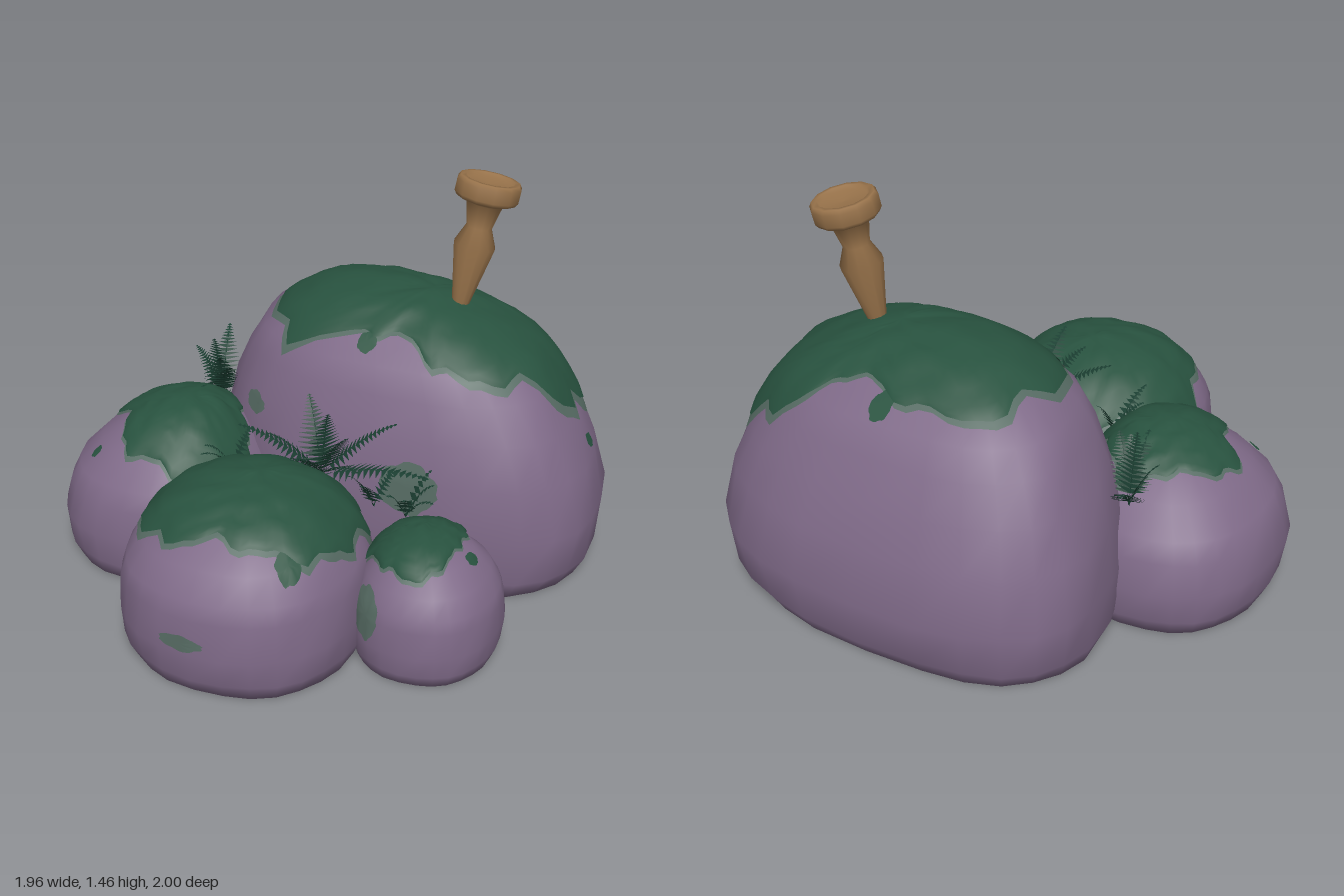
import * as THREE from 'three';

const flat = (name, color, side = THREE.FrontSide) => {
  const m = new THREE.MeshStandardMaterial({ color, side });
  m.name = name;
  return m;
};

function surface(pos, idx) {
  const g = new THREE.BufferGeometry();
  g.setAttribute('position', new THREE.Float32BufferAttribute(pos, 3));
  g.setIndex(idx);
  g.computeVertexNormals();
  return g;
}

// Rock profiles: [share of the height, share of the way in from the widest outline to the apex]
const TALL = [[0, .07], [.07, .025], [.25, 0], [.45, .045], [.6, .12], [.73, .21], [.82, .3], [.9, .46], [.97, .68]];
const LOW = [[0, .08], [.1, .025], [.28, 0], [.5, .03], [.6, .07], [.75, .19], [.89, .41], [.965, .65]];
const SLOPED = [[0, .08], [.1, .03], [.3, 0], [.5, .06], [.62, .13], [.78, .32], [.9, .53], [.965, .72]];

// Rock: rounded outlines shrinking from a widest box [xMin, xMax, zMin, zMax] to an apex, with a flat base.
// shear slides the front towards +x, back below 1 makes the rear slope more
function rockGeometry({ box, apex, profile, power, shear = 0, back = 1 }) {
  const N = 28, pos = [], idx = [];
  for (const [h, inset] of profile) {
    const [x0, x1, z0, z1] = box.map((v, i) => THREE.MathUtils.lerp(v, apex[i < 2 ? 0 : 2], i === 2 ? inset ** back : inset));
    for (let i = 0; i < N; i++) {
      const a = (i / N) * Math.PI * 2, wave = apex[0] * 9;
      const bump = 0.99 + 0.014 * Math.sin(a * 5 + wave + h * 6) * Math.cos(a * 3 - wave + h * 9);
      const r = v => Math.sign(v) * Math.abs(v) ** (2 / power) * bump;
      const dz = (z1 - z0) / 2 * r(Math.sin(a));
      pos.push((x0 + x1) / 2 + (x1 - x0) / 2 * r(Math.cos(a)) + shear * dz, h * apex[1], (z0 + z1) / 2 + dz);
    }
  }
  for (let k = 0; k < profile.length - 1; k++) {
    for (let i = 0; i < N; i++) {
      const a = k * N + i, b = k * N + (i + 1) % N;
      idx.push(a, a + N, b, b, a + N, b + N);
    }
  }
  const last = (profile.length - 1) * N, top = last + N;
  pos.push(...apex, (box[0] + box[1]) / 2, 0, (box[2] + box[3]) / 2);
  for (let i = 0; i < N; i++) {
    const j = (i + 1) % N;
    idx.push(last + i, top, last + j, i, j, top + 1);
  }
  return surface(pos, idx);
}

// Ragged closed outline around a centre, from radii at even angles
function outline([cx, cy], radii, stretch = 1, ragged = 0) {
  const points = radii.map((r, i) => {
    const a = i / radii.length * Math.PI * 2;
    return new THREE.Vector3(cx + r * Math.cos(a) * stretch, cy + r * Math.sin(a), 0);
  });
  const n = radii.length * 6;
  const rim = new THREE.CatmullRomCurve3(points, true).getPoints(n).slice(0, n);
  const mid = new THREE.Vector3(cx, cy, 0);
  rim.forEach((p, i) => {
    const wave = 1 + ragged * (Math.sin(i * 0.95) + 0.6 * Math.sin(i * 1.7 + cx * 9));
    p.sub(mid).multiplyScalar(wave).add(mid);
  });
  return { mid, rim };
}

// Sheet draped over a rock: an outline projected down (axis y) or from the front (axis z)
function drape(rock, { mid, rim }, { axis = 'y', grow = 1, lift = 0.006, puff = 0, rings = 12 } = {}) {
  const N = rim.length, ray = new THREE.Raycaster(), pos = [], idx = [];
  const down = axis === 'y';
  const dir = down ? new THREE.Vector3(0, -1, 0) : new THREE.Vector3(0, 0, -1);
  const project = (p, scale, height) => {
    let hit;
    for (let f = scale; !hit && f > -0.05; f -= 0.03) {
      const q = mid.clone().lerp(p, Math.max(f, 0));
      ray.set(down ? new THREE.Vector3(q.x, 3, q.y) : new THREE.Vector3(q.x, q.y, 3), dir);
      hit = ray.intersectObject(rock)[0];
    }
    pos.push(...hit.point.addScaledVector(hit.face.normal, height));
  };
  project(mid, 0, lift + puff);
  for (let k = 1; k <= rings; k++) {
    const t = 1 - (1 - k / rings) ** 1.4;
    rim.forEach((p, i) => {
      const lumps = 1 + 0.35 * Math.sin(p.x * t * 31) * Math.cos(p.y * t * 27);
      project(p, t * grow, lift + puff * Math.sqrt(1 - t) * lumps);
      const j = (i + 1) % N, a = 1 + (k - 1) * N;
      if (k === 1) idx.push(0, 1 + j, 1 + i);
      else idx.push(a + i, a - N + i, a + j, a + j, a - N + i, a - N + j);
    });
  }
  return surface(pos, idx);
}

// Arching frond: a thin stem with tapering leaflets on both sides
function frond(base, tip, width, pairs) {
  const a = new THREE.Vector3(...base), b = new THREE.Vector3(...tip);
  const bend = a.clone().lerp(b, 0.5);
  bend.y += 0.06;
  const curve = new THREE.QuadraticBezierCurve3(a, bend, b);
  const pos = [], tri = (...v) => v.forEach(p => pos.push(p.x, p.y, p.z));
  for (let i = 0; i < pairs; i++) {
    const t = 0.12 + 0.88 * i / pairs;
    const p = curve.getPoint(t), q = curve.getPoint(Math.min(1, t + 0.8 / pairs)), d = curve.getTangent(t);
    const side = d.clone().cross(new THREE.Vector3(0, 1, 0)).normalize();
    const len = width * Math.min(1, 0.5 + t * 2) * (1.05 - t);
    for (const s of [-1, 1]) {
      const end = p.clone().addScaledVector(side, s * len).addScaledVector(d, len * 0.45);
      end.y -= len * 0.12;
      tri(p, end, q);
    }
  }
  const w = new THREE.Vector3(0.004, 0, 0.003);
  for (let i = 0; i < 8; i++) {
    const p = curve.getPoint(i / 8);
    tri(p.clone().sub(w), p.clone().add(w), curve.getPoint((i + 1) / 8));
  }
  return surface(pos, [...Array(pos.length / 3).keys()]);
}

export function createModel() {
  const model = new THREE.Group();
  const stone = flat('purple stone', 0x7f6a88);
  const moss = flat('moss green', 0x28523f, THREE.DoubleSide);
  const fringe = flat('pale moss', 0x566b63, THREE.DoubleSide);
  const fern = flat('fern green', 0x1c4033, THREE.DoubleSide);
  const wood = flat('peg wood', 0x97724a);
  const add = (name, geometry, material) => {
    const mesh = new THREE.Mesh(geometry, material);
    mesh.name = name;
    model.add(mesh);
    return mesh;
  };

  // Boulder with a moss cap and its pale border
  const boulder = (name, shape, mossCentre, mossRadii) => {
    const rock = add(name, rockGeometry(shape), stone);
    const cap = outline(mossCentre, mossRadii, 1, 0.04);
    add(name + 'Fringe', drape(rock, cap, { grow: 1.045, lift: 0.005 }), fringe);
    add(name + 'Moss', drape(rock, cap, { lift: 0.012, puff: 0.02 }), moss);
    return rock;
  };
  const big = boulder('bigRock',
    { box: [-.6, .98, -1.005, .13], apex: [.06, .995, -.37], profile: TALL, power: 2.6, shear: .15, back: .8 },
    [.28, -.38], [.56, .46, .38, .26, .32, .54, .58, .54, .34, .25, .39, .54]);
  const left = boulder('leftRock',
    { box: [-.985, -.18, -.38, .52], apex: [-.5, .585, .1], profile: SLOPED, power: 2.3 },
    [-.5, .1], [.24, .31, .3, .27, .28, .22, .3, .27, .25, .29, .21, .2]);
  const front = boulder('frontRock',
    { box: [-.465, .42, .1, 1.005], apex: [-.02, .585, .54], profile: LOW, power: 2.25 },
    [0, .5], [.34, .36, .34, .32, .39, .4, .4, .35, .36, .35, .36, .36]);
  const right = boulder('rightRock',
    { box: [.33, .845, .09, .665], apex: [.56, .425, .38], profile: LOW, power: 2.2 },
    [.52, .34], [.16, .18, .24, .21, .17, .18, .17, .17, .19, .21, .2, .17]);

  // Loose moss spots on top and faint stains on the front faces
  const round = (x, y, r, stretch) => outline([x, y], Array(6).fill(r), stretch, 0.06);
  const spot = (rock, ...s) => add('mossSpot', drape(rock, round(...s), { lift: 0.009, rings: 3 }), moss);
  const stain = (rock, ...s) => add('stain', drape(rock, round(...s), { axis: 'z', rings: 4 }), fringe);
  spot(big, .14, -.71, .045, .9);
  spot(big, .15, -.08, .03, 1.2);
  spot(big, .91, -.38, .03, .4);
  spot(left, -.76, .34, .02, 1);
  spot(front, .24, .78, .05, .8);
  spot(right, .73, .38, .03, .6);
  stain(front, -.05, .205, .028, 2.9);
  stain(right, .45, .22, .09, .55);
  stain(big, .39, .42, .1, 1.1);
  stain(big, -.28, .57, .04, 1.2);

  // Ferns rooted in the gaps between the rocks, and a small leafy plant
  const plant = (name, root, width, pairs, tips) => tips.forEach(t => add(name, frond(root, t, width, pairs), fern));
  plant('fernFrond', [.08, .44, .17], .095, 16, [[-.02, .7, .06], [.33, .65, .06], [-.2, .64, .28], [.1, .65, .46],
    [.3, .59, .35], [.5, .52, .17], [-.06, .66, .33], [.12, .71, .2], [.22, .66, .25]]);
  plant('fernFrond', [-.55, .44, -.25], .085, 16, [[-.5, .6, .0], [-.64, .64, -.5], [-.55, .71, -.2], [-.44, .64, -.12],
    [-.66, .64, -.25], [-.5, .66, -.15]]);
  plant('fernFrond', [-.26, .4, .2], .05, 10, [[-.34, .52, .28], [-.3, .54, .38], [-.22, .55, .12]]);
  plant('fernFrond', [.3, .38, .2], .05, 10, [[.3, .52, .32], [.36, .5, .12], [.24, .54, .3]]);
  plant('leafyPlant', [.43, .38, .22], .045, 7, [[.53, .52, .2], [.38, .48, .28], [.46, .5, .32], [.5, .55, .15], [.55, .48, .26]]);

  // Wooden peg driven into the big boulder at a slant
  const profile = [[0, -.06], [.026, -.05], [.03, 0], [.078, .24], [.048, .31], [.068, .4], [.11, .415], [.12, .43],
    [.12, .475], [.11, .49], [.093, .49], [.085, .475], [0, .47]].map(p => new THREE.Vector2(...p));
  const peg = add('peg', new THREE.LatheGeometry(profile, 12), wood);
  peg.position.set(.395, .955, -.365);
  peg.quaternion.setFromUnitVectors(new THREE.Vector3(0, 1, 0), new THREE.Vector3(.078, .5, -.065).normalize());
  return model;
}
